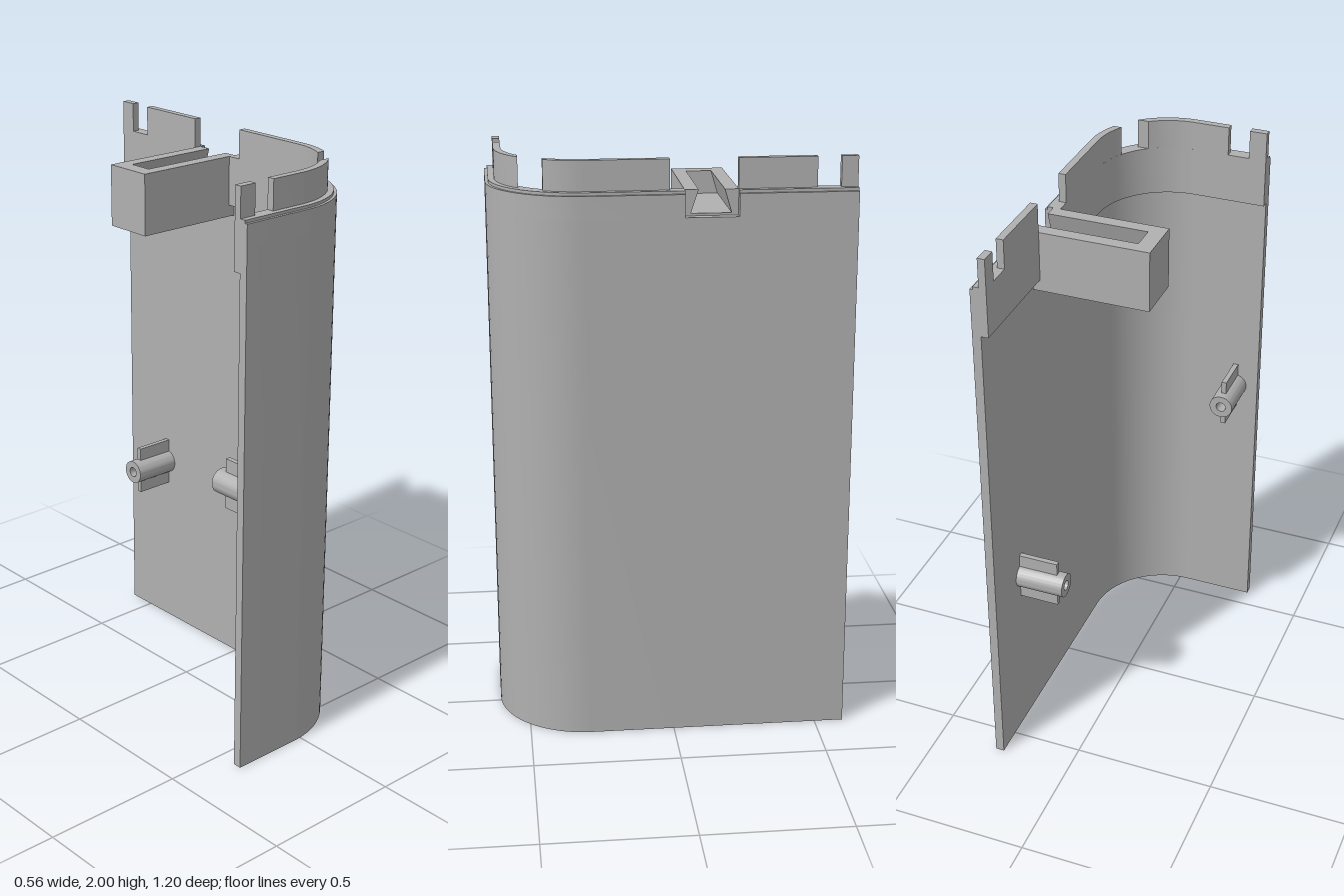
import * as THREE from 'three';
import { toCreasedNormals } from 'three/addons/utils/BufferGeometryUtils.js';

const HX = 0.28, HZ = 0.6, R = 0.31;     // outer face positions and corner radius
const CX = HX - R, CZ = HZ - R;          // centre of the rounded corner
const START = { x: -0.285 }, END = { z: -0.6 };
const NOTCH_FRONT = { z: -0.035 }, NOTCH_BACK = { z: -0.21 };

const smooth = (g) => toCreasedNormals(g, 0.5);

// Plan line at inset d from the outer face, between two cuts given by x or z
function edge(d, a, b) {
  const r = R - d;
  const angle = (e) => ('x' in e ? Math.PI / 2 : e.z > CZ ? Math.asin((e.z - CZ) / r) : 0);
  const tip = (e) => ('x' in e ? [[e.x, HZ - d]] : e.z > CZ ? [] : [[HX - d, e.z]]);
  const pts = tip(a), from = angle(a), to = angle(b), n = 20;
  if (from > to) {
    for (let i = 0; i <= n; i++) {
      const t = from + ((to - from) * i) / n;
      pts.push([CX + r * Math.cos(t), CZ + r * Math.sin(t)]);
    }
  }
  return pts.concat(tip(b)).map(([x, z]) => new THREE.Vector2(x, -z));
}

// Upright strip of wall between insets d0 and d1
function band(d0, d1, y0, y1, a, b) {
  const shape = new THREE.Shape([...edge(d0, a, b), ...edge(d1, a, b).reverse()]);
  const g = new THREE.ExtrudeGeometry(shape, { depth: y1 - y0, bevelEnabled: false });
  return smooth(g.rotateX(-Math.PI / 2).translate(0, y0, 0));
}

export function createModel() {
  const model = new THREE.Group();
  model.name = 'cornerCover';
  const grey = new THREE.MeshStandardMaterial({ color: 0xb0b0b0 });
  grey.name = 'grey plastic';
  const add = (name, geometry, parent = model) => {
    const mesh = new THREE.Mesh(geometry, grey);
    mesh.name = name;
    parent.add(mesh);
    return mesh;
  };

  // Curved wall, with a notch at the top and a small step along the outer rim
  add('wall', band(0, 0.03, 0, 1.815, START, END));
  for (const [a, b] of [[START, NOTCH_FRONT], [NOTCH_BACK, END]]) {
    add('wallTop', band(0, 0.03, 1.815, 1.89, a, b));
    add('rimStep', band(0.01, 0.03, 1.89, 1.9, a, b));
    add('innerLip', band(0.03, 0.055, 1.73, 1.9, a, b));
  }

  // Tabs standing on the inner lip
  const tabs = [
    [START, { x: -0.225 }],
    [{ x: -0.15 }, { z: 0.495 }],
    [{ z: 0.418 }, { z: 0.013 }],
    [NOTCH_BACK, { z: -0.467 }],
    [{ z: -0.545 }, END],
  ];
  for (const [a, b] of tabs) add('tab', band(0.03, 0.055, 1.9, 2, a, b));

  // Bracket with a dovetail slot open towards the notch
  const bottom = 1.69, top = 1.9, floor = 1.823;
  const section = new THREE.Shape([
    [0.035, bottom], [0.21, bottom], [0.21, top], [0.165, top],
    [0.188, floor], [0.055, floor], [0.08, top], [0.035, top],
  ].map(([u, y]) => new THREE.Vector2(u, y)));
  const slot = new THREE.ExtrudeGeometry(section, { depth: 0.345, bevelEnabled: false });
  add('slottedBracket', slot.rotateY(Math.PI / 2).translate(-0.095, 0, 0));
  add('bracketEnd', new THREE.BoxGeometry(0.055, top - bottom, 0.175))
    .position.set(-0.1225, (top + bottom) / 2, -0.1225);

  // Hollow pins with a rib above and below
  const ring = new THREE.Shape().absarc(0, 0, 0.0425, 0, Math.PI * 2);
  ring.holes.push(new THREE.Path().absarc(0, 0, 0.018, 0, Math.PI * 2, true));
  const pinGeometry = smooth(new THREE.ExtrudeGeometry(ring,
    { depth: 0.17, bevelEnabled: false, curveSegments: 24 }));
  const addPin = (name, x, y, z, turn) => {
    const pin = new THREE.Group();
    pin.name = name;
    add('pinTube', pinGeometry, pin);
    for (const s of [1, -1]) {
      add('pinRib', new THREE.BoxGeometry(0.018, 0.055, 0.14), pin).position.set(0, s * 0.06, 0.07);
    }
    pin.position.set(x, y, z);
    pin.rotation.y = turn;
    model.add(pin);
  };
  addPin('sidePin', 0.25, 0.655, -0.393, -Math.PI / 2);
  addPin('frontPin', -0.2, 0.97, 0.573, Math.PI);

  return model;
}
